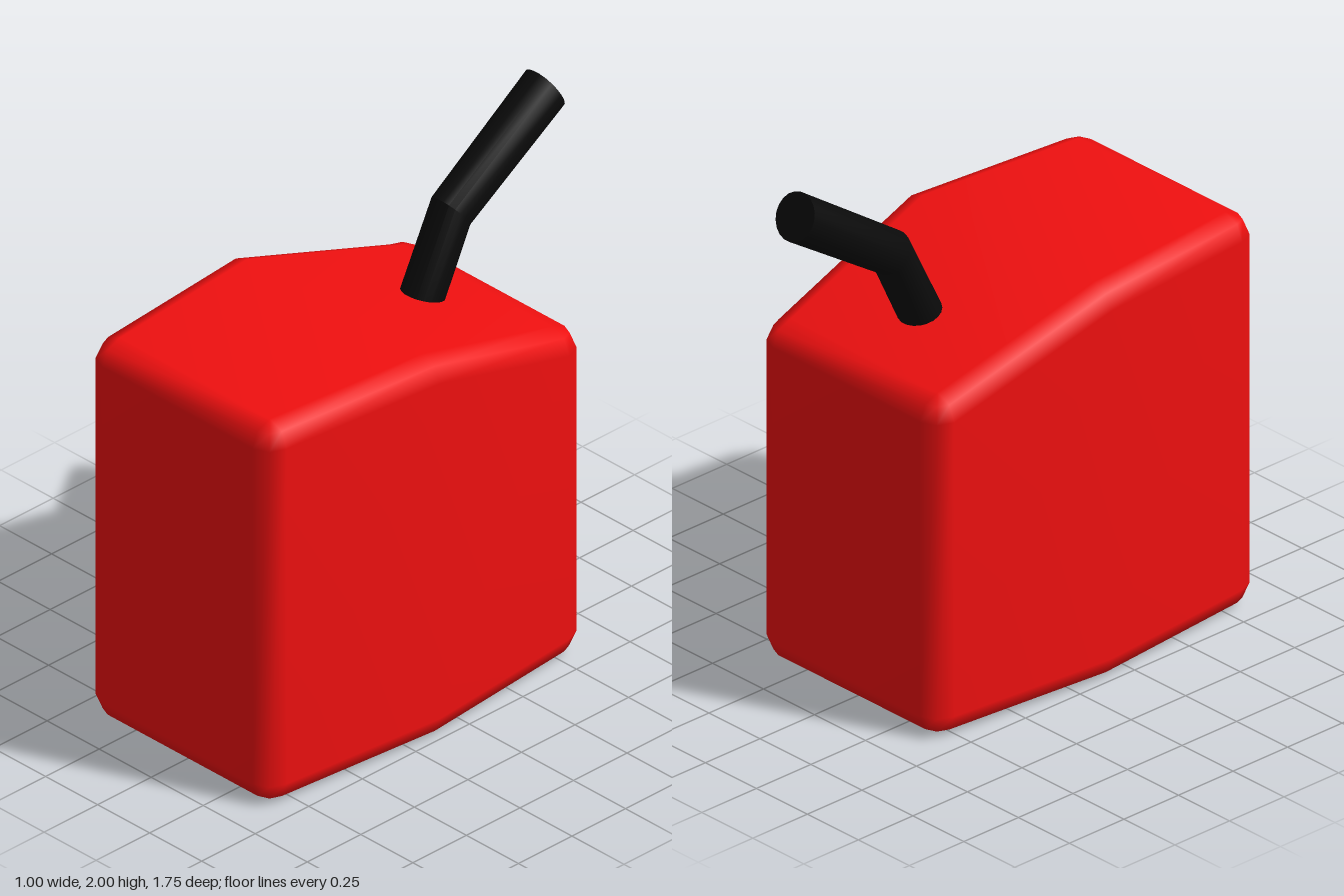
import * as THREE from 'three';
import { mergeVertices, toCreasedNormals } from 'three/addons/utils/BufferGeometryUtils.js';

// Skins a stack of rings (bottom to top). Each ring starts at the front, runs
// down the +x side and back along the mirrored -x side; both ends are capped.
function loft(rings) {
  const n = rings[0].length;
  const index = [];
  const quad = (a, b, c, d) => index.push(a, b, c, a, c, d);
  for (let r = 0; r < rings.length - 1; r++) {
    for (let i = 0; i < n; i++) {
      const j = (i + 1) % n;
      quad(r * n + i, r * n + j, (r + 1) * n + j, (r + 1) * n + i);
    }
  }
  const top = (rings.length - 1) * n;
  for (let i = 0; i < n / 2 - 1; i++) {
    quad(top + i, top + i + 1, top + n - 2 - i, top + n - 1 - i);
    quad(n - 1 - i, n - 2 - i, i + 1, i);
  }
  const geometry = new THREE.BufferGeometry();
  geometry.setAttribute('position', new THREE.Float32BufferAttribute(rings.flat(2), 3));
  geometry.setIndex(index);
  return geometry;
}

// Can body: rounded plan, bulging sides, top sloping down towards the back
function createBody() {
  const radius = 0.082;
  const corners = [ // centre x, centre z, top height, bevel directions in degrees
    { x: 0.36, z: 0.796, top: 1.484, angles: [90, 45, 0] },
    { x: 0.42, z: 0.14, top: 1.484, angles: [0] },
    { x: 0.36, z: -0.522, top: 1.28, angles: [0, -45, -90] },
  ];
  const ring = (tilt, upper) => {
    const reach = radius * Math.cos(tilt);
    const drop = radius * (1 - Math.sin(tilt));
    const half = corners.flatMap(c => c.angles.map(deg => {
      const a = THREE.MathUtils.degToRad(deg);
      return [c.x + reach * Math.cos(a), upper ? c.top - drop : drop, c.z + reach * Math.sin(a)];
    }));
    return [...half, ...half.map(([x, y, z]) => [-x, y, z]).reverse()];
  };
  const q = Math.PI / 4;
  const rings = [
    ...[2 * q, q, 0].map(t => ring(t, false)),
    ...[0, q, 2 * q].map(t => ring(t, true)),
  ];
  const geometry = mergeVertices(loft(rings));
  geometry.computeVertexNormals();
  return geometry;
}

// Bent spout: each ring spans a front edge and a back edge, given as [z, y]
function createSpout() {
  const sides = 20;
  const stations = [
    { front: [-0.15, 1.29], back: [-0.30, 1.25], halfWidth: 0.08 },
    { front: [-0.35, 1.69], back: [-0.45, 1.565], halfWidth: 0.08 },
    { front: [-0.80, 2.0], back: [-0.877, 1.845], halfWidth: 0.087 },
  ];
  const rings = stations.map(({ front, back, halfWidth }) =>
    Array.from({ length: sides }, (_, i) => {
      const a = (i + 0.5) * 2 * Math.PI / sides;
      const t = (1 - Math.cos(a)) / 2;
      return [
        halfWidth * Math.sin(a),
        THREE.MathUtils.lerp(front[1], back[1], t),
        THREE.MathUtils.lerp(front[0], back[0], t),
      ];
    }));
  return toCreasedNormals(loft(rings), 0.42);
}

export function createModel() {
  const group = new THREE.Group();
  group.name = 'fuelCan';
  const add = (name, geometry, color) => {
    const mesh = new THREE.Mesh(geometry, new THREE.MeshStandardMaterial({ color }));
    mesh.name = name;
    group.add(mesh);
  };
  add('canBody', createBody(), 0xf01010);
  add('spout', createSpout(), 0x0a0a0a);
  return group;
}
